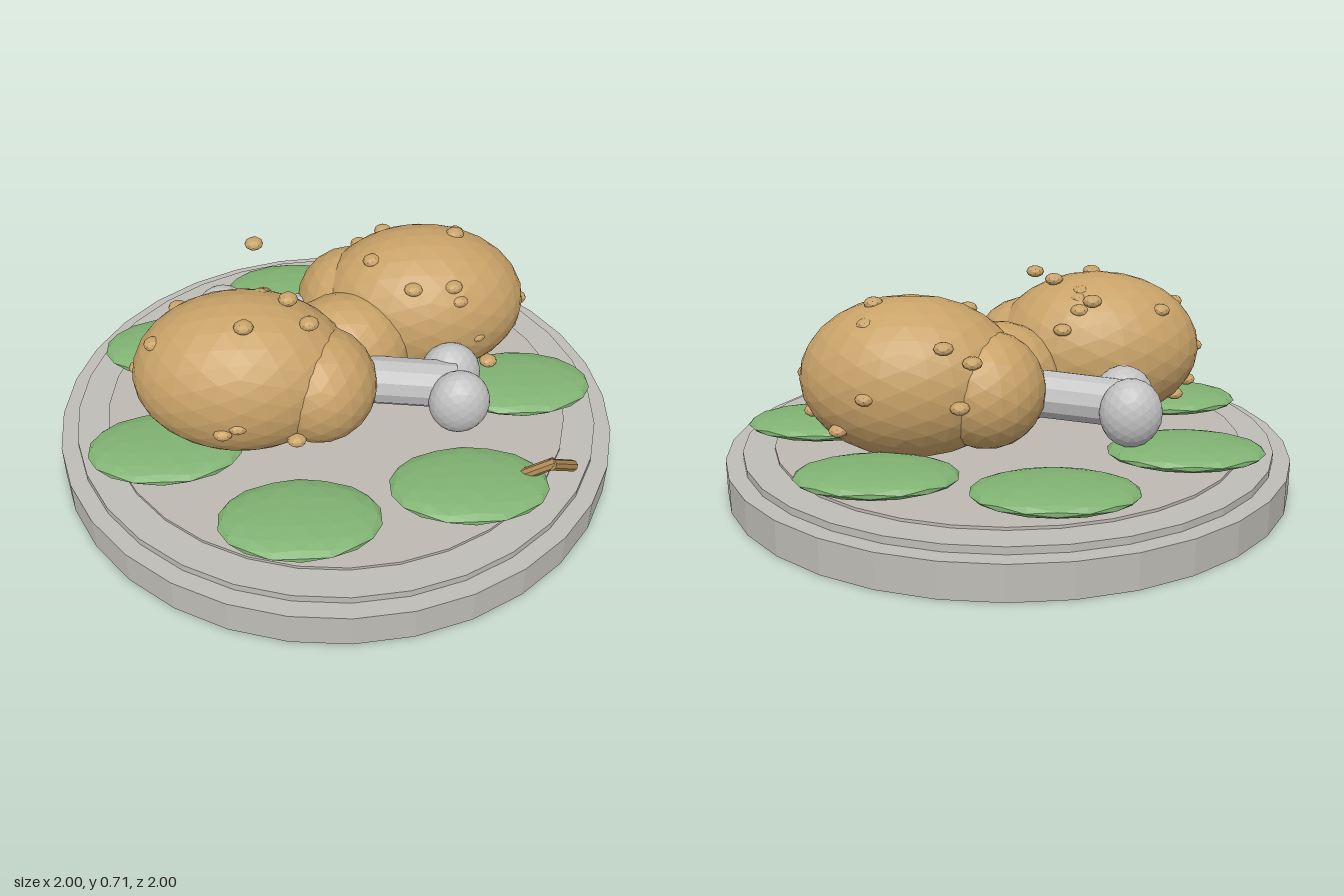
import * as THREE from 'three';

const material = (name, color, flatShading = true) => {
  const m = new THREE.MeshStandardMaterial({ color, flatShading });
  m.name = name;
  return m;
};

export function createModel() {
  const root = new THREE.Group();
  root.name = 'drumstickPlatter';
  const stone = material('plateGrey', 0xbfbdb6);
  const inner = material('plateCentreGrey', 0xbfb9b3);
  const meat = material('roastBrown', 0xc8a268);
  const bone = material('boneGrey', 0xc2c2c2);
  const leafGreen = material('leafGreen', 0x80b272);
  const bark = material('twigBrown', 0xa98450);

  const add = (parent, name, geometry, mat, x = 0, y = 0, z = 0) => {
    const mesh = new THREE.Mesh(geometry, mat);
    mesh.name = name;
    mesh.position.set(x, y, z);
    parent.add(mesh);
    return mesh;
  };
  const blob = (parent, name, mat, [x, y, z], [rx, ry, rz], detail) => {
    const mesh = add(parent, name, new THREE.IcosahedronGeometry(1, detail), mat, x, y, z);
    mesh.scale.set(rx, ry, rz);
    return mesh;
  };
  const rod = (parent, name, mat, from, to, radius, sides) => {
    const a = new THREE.Vector3(...from), b = new THREE.Vector3(...to);
    const dir = b.clone().sub(a);
    const mesh = add(parent, name, new THREE.CylinderGeometry(radius, radius, dir.length(), sides), mat);
    mesh.position.copy(a).add(b).multiplyScalar(0.5);
    mesh.quaternion.setFromUnitVectors(new THREE.Vector3(0, 1, 0), dir.normalize());
    return mesh;
  };

  // Stepped round plate
  const plate = new THREE.Group();
  plate.name = 'plate';
  root.add(plate);
  add(plate, 'plateBase', new THREE.CylinderGeometry(1, 1, 0.12, 32), stone, 0, 0.06);
  add(plate, 'plateStep', new THREE.CylinderGeometry(0.94, 0.94, 0.025, 32), stone, 0, 0.1325);
  add(plate, 'plateCentre', new THREE.CylinderGeometry(0.83, 0.83, 0.01, 32), inner, 0, 0.15);

  // Ring of seven leaves
  for (let i = 0; i < 7; i++) {
    const a = (i / 7) * Math.PI * 2;
    blob(root, 'leaf', leafGreen, [Math.cos(a) * 0.667, 0.192, Math.sin(a) * 0.667], [0.268, 0.041, 0.18], 2);
  }

  // Two drumsticks lying head to tail
  for (const s of [1, -1]) {
    const leg = new THREE.Group();
    leg.name = s > 0 ? 'frontDrumstick' : 'backDrumstick';
    leg.position.z = -0.025;
    leg.rotation.y = s > 0 ? 0 : Math.PI;
    root.add(leg);
    blob(leg, 'meat', meat, [-0.325, 0.432, 0.195], [0.375, 0.275, 0.28], 4);
    blob(leg, 'meatNeck', meat, [-0.07, 0.4, 0.245], [0.2, 0.2, 0.205], 3);
    rod(leg, 'boneShaft', bone, [0, 0.385, 0.195], [0.4, 0.335, 0.195], 0.083, 12);
    blob(leg, 'boneKnob', bone, [0.41, 0.33, 0.28], [0.106, 0.118, 0.088], 3);
    blob(leg, 'boneKnob', bone, [0.4, 0.33, 0.118], [0.106, 0.115, 0.088], 3);
  }
  // Meat joining the two drumsticks
  blob(root, 'middleMeat', meat, [0.04, 0.37, -0.025], [0.23, 0.2, 0.19], 3);

  // Crumbs on the crust
  const crumbs = [
    // front drumstick
    [-0.31, 0.69, 0.28], [-0.165, 0.69, 0.13], [-0.1, 0.69, 0.27], [-0.28, 0.69, -0.22],
    [-0.39, 0.375, 0.43], [-0.34, 0.4, 0.43], [-0.15, 0.31, 0.4], [-0.54, 0.6, 0.03],
    [-0.68, 0.44, 0.15], [-0.66, 0.31, 0.15], [-0.61, 0.59, 0.22], [-0.46, 0.36, -0.05],
    [-0.25, 0.61, -0.02], [-0.25, 0.64, 0.03], [-0.26, 0.66, 0.06], [-0.19, 0.55, -0.06],
    [-0.62, 0.25, 0.16],
    // back drumstick
    [0.44, 0.69, -0.25], [0.135, 0.65, -0.15], [0.455, 0.64, -0.34], [0.41, 0.61, -0.03],
    [0.43, 0.565, -0.01], [0.27, 0.61, -0.02], [0.5, 0.42, 0.0], [0.52, 0.58, -0.09],
    [0.68, 0.44, -0.2], [0.66, 0.31, -0.22], [0.57, 0.24, -0.08], [0.2, 0.59, -0.45],
    [0.11, 0.54, -0.44], [0.15, 0.4, -0.47], [0.45, 0.43, -0.47], [0.55, 0.3, -0.4],
  ];
  for (const p of crumbs) blob(root, 'crumb', meat, p, [0.033, 0.022, 0.032], 1);

  // Bent twig at the edge
  rod(root, 'twig', bark, [0.59, 0.2, 0.495], [0.7, 0.258, 0.5], 0.02, 8);
  rod(root, 'twig', bark, [0.685, 0.26, 0.51], [0.785, 0.175, 0.43], 0.02, 8);

  return root;
}
